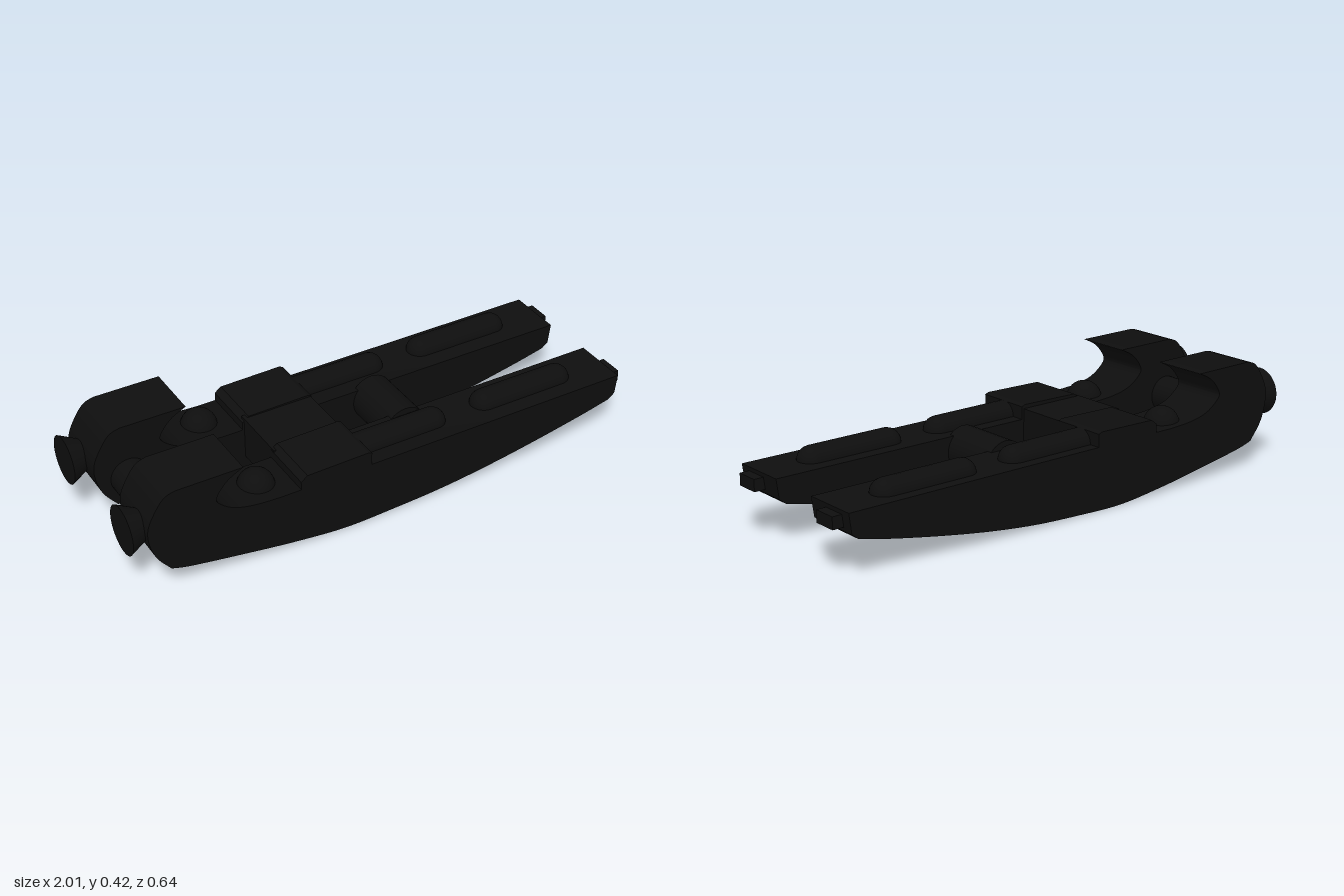
import * as THREE from 'three';
import { toCreasedNormals } from 'three/addons/utils/BufferGeometryUtils.js';

const black = new THREE.MeshStandardMaterial({ color: 0x0e0e0e });
black.name = 'black';

function add(parent, name, geometry, x, y, z) {
  const mesh = new THREE.Mesh(geometry, black);
  mesh.name = name;
  mesh.position.set(x, y, z);
  parent.add(mesh);
  return mesh;
}

// Side outline of a hull: curved keel, flat deck and hooked stern
function hullShape() {
  const v = (x, y) => new THREE.Vector2(x, y);
  const s = new THREE.Shape();
  s.moveTo(-0.87, 0.105);
  s.splineThru([v(-0.8, 0.086), v(-0.6, 0.052), v(-0.4, 0.022), v(-0.2, 0.002), v(0, 0.007),
    v(0.2, 0.019), v(0.4, 0.043), v(0.6, 0.076), v(0.8, 0.115), v(0.93, 0.145)]);
  s.lineTo(0.955, 0.165);
  s.lineTo(0.965, 0.24);
  s.lineTo(-0.45, 0.238);
  s.splineThru([v(-0.55, 0.245), v(-0.63, 0.265), v(-0.685, 0.305), v(-0.69, 0.335),
    v(-0.65, 0.385), v(-0.59, 0.418)]);
  s.lineTo(-0.84, 0.419);
  s.splineThru([v(-0.88, 0.405), v(-0.915, 0.36), v(-0.943, 0.3), v(-0.943, 0.24),
    v(-0.92, 0.17), v(-0.87, 0.105)]);
  return s;
}

// Rounded fairing lying along the deck
function fairing(parent, name, x0, x1, z) {
  const r = 0.052;
  const geo = new THREE.CapsuleGeometry(r, x1 - x0 - 2 * r, 8, 20);
  geo.rotateZ(Math.PI / 2);
  add(parent, name, geo, (x0 + x1) / 2, 0.238, z);
}

function createHull(name, side) {
  const hull = new THREE.Group();
  hull.name = name;
  const width = 0.214;
  const extruded = new THREE.ExtrudeGeometry(hullShape(), {
    depth: width, bevelEnabled: false, curveSegments: 4,
  });
  extruded.translate(0, 0, -width / 2);
  add(hull, 'hullBody', toCreasedNormals(extruded, 0.5), 0, 0, 0);

  // Deck details
  const z = -0.006 * (side < 0 ? 2 : 1);
  add(hull, 'dome', new THREE.SphereGeometry(0.068, 24, 16), -0.49, 0.226, z);
  fairing(hull, 'middleFairing', -0.15, 0.27, z);
  fairing(hull, 'forwardFairing', 0.39, 0.81, z);

  // Raised block where the main bridge crosses the deck
  const b = new THREE.Shape();
  b.moveTo(-0.375, 0.2);
  b.lineTo(-0.095, 0.2);
  b.lineTo(-0.095, 0.287);
  b.lineTo(-0.11, 0.293);
  b.lineTo(-0.35, 0.289);
  b.lineTo(-0.375, 0.27);
  const block = new THREE.ExtrudeGeometry(b, { depth: width, bevelEnabled: false });
  add(hull, 'deckBlock', block, 0, 0, -width / 2);

  // Flared thruster and bow nozzle
  const flare = new THREE.CylinderGeometry(0.09, 0.05, 0.08, 32);
  flare.rotateZ(Math.PI / 2);
  add(hull, 'thruster', flare, -0.96, 0.262, side * 0.022);
  add(hull, 'bowNozzle', new THREE.BoxGeometry(0.06, 0.045, 0.09), 0.97, 0.202, side * 0.02);
  return hull;
}

export function createModel() {
  const model = new THREE.Group();
  model.name = 'twinHullShip';

  const left = createHull('frontHull', 1);
  left.position.set(0.004, 0.007, 0.206);
  const right = createHull('backHull', -1);
  right.position.set(-0.002, 0, -0.207);
  model.add(left, right);

  // Cross members joining the hulls
  const tube = (name, x, y, r) => {
    const geo = new THREE.CylinderGeometry(r, r, 0.24, 32);
    geo.rotateX(Math.PI / 2);
    add(model, name, geo, x, y, 0);
  };
  tube('rearStrut', -0.82, 0.21, 0.07);
  tube('forwardStrut', 0.165, 0.185, 0.085);
  add(model, 'mainBridge', new THREE.BoxGeometry(0.27, 0.165, 0.24), -0.235, 0.2025, 0);
  return model;
}
